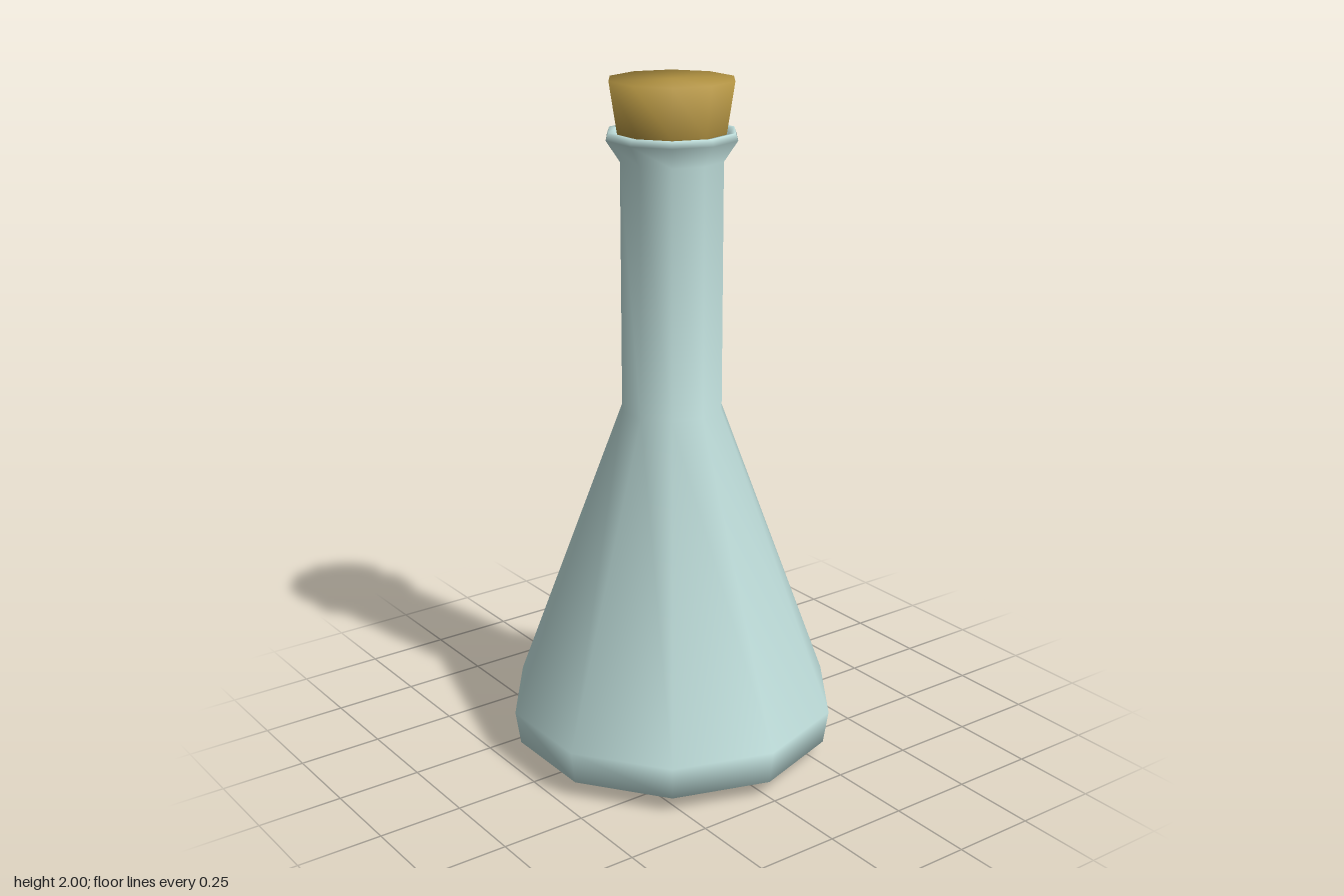
import * as THREE from 'three';

const SIDES = 10;

// Ten-sided turned part with smooth normals, corners on the x axis
function turned(name, profile, material) {
  const points = profile.map(([r, y]) => new THREE.Vector2(r, y));
  const mesh = new THREE.Mesh(new THREE.LatheGeometry(points, SIDES, Math.PI / 2), material);
  mesh.name = name;
  return mesh;
}

export function createModel() {
  const glass = new THREE.MeshStandardMaterial({ color: 0xbfdedb });
  glass.name = 'pale glass';
  const corkBrown = new THREE.MeshStandardMaterial({ color: 0xb09141 });
  corkBrown.name = 'cork brown';

  const group = new THREE.Group();
  group.name = 'corkedFlask';

  // Conical body, straight neck and flared lip that turns in to the stopper
  group.add(turned('flask', [
    [0, 0], [0.39, 0], [0.475, 0.05], [0.49, 0.15],
    [0.15, 1.06], [0.15, 1.78], [0.19, 1.84], [0.183, 1.86],
    [0.164, 1.857], [0.145, 1.82],
  ], glass));

  // Tapered stopper seated in the neck
  group.add(turned('cork', [
    [0, 1.82], [0.148, 1.82], [0.158, 1.86], [0.18, 2], [0, 2],
  ], corkBrown));

  return group;
}
